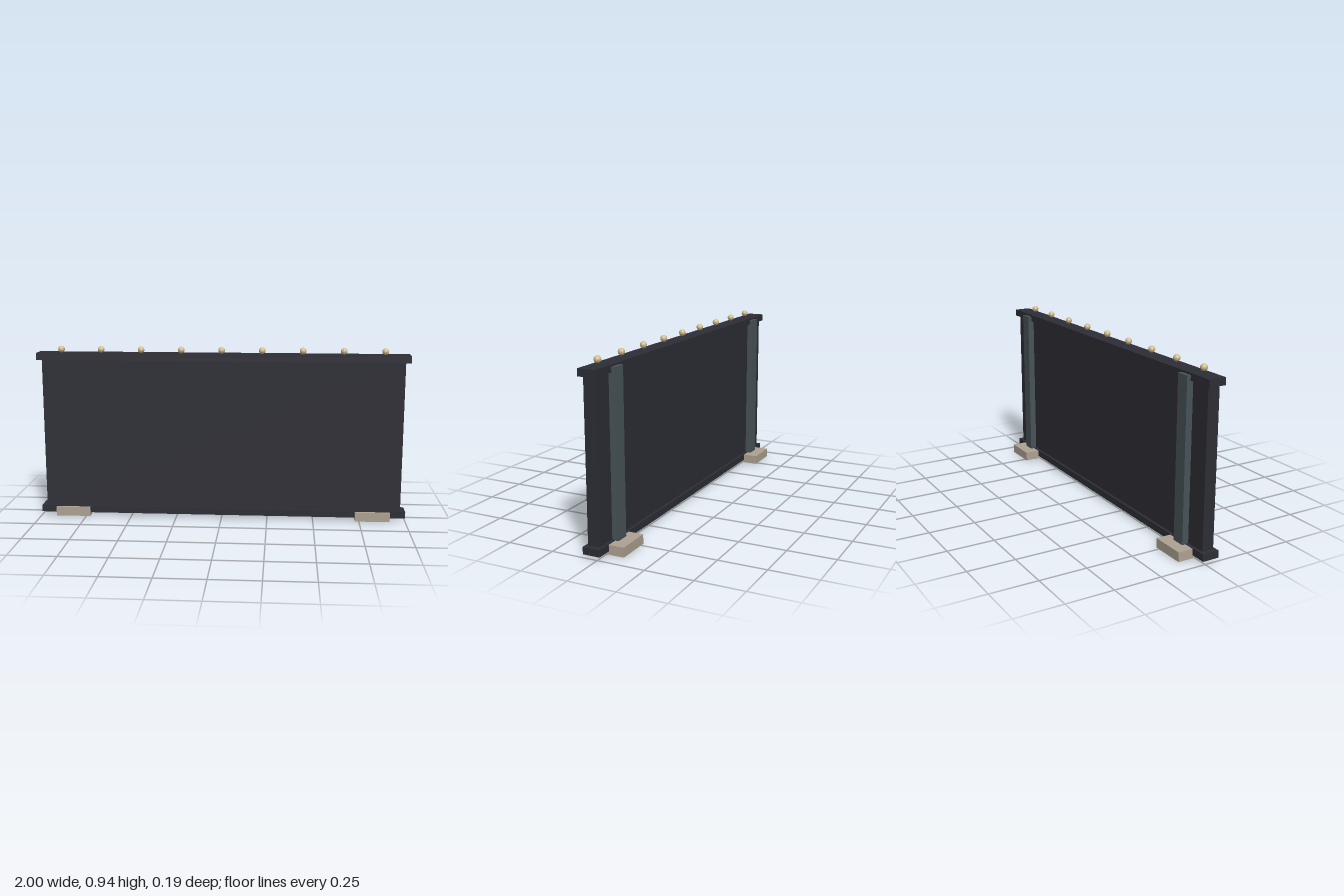
import * as THREE from 'three';

const charcoal = new THREE.MeshStandardMaterial({ name: 'charcoal', color: 0x2d2d36 });
const slate = new THREE.MeshStandardMaterial({ name: 'slateSteel', color: 0x485358 });
const stone = new THREE.MeshStandardMaterial({ name: 'paleStone', color: 0xaea292 });
const brass = new THREE.MeshStandardMaterial({ name: 'warmBrass', color: 0xcfbb8c });

export function createModel() {
  const model = new THREE.Group();
  model.name = 'billboard';

  // Box from its minimum and maximum corners
  const addBox = (name, material, [x0, y0, z0], [x1, y1, z1]) => {
    const mesh = new THREE.Mesh(new THREE.BoxGeometry(x1 - x0, y1 - y0, z1 - z0), material);
    mesh.position.set((x0 + x1) / 2, (y0 + y1) / 2, (z0 + z1) / 2);
    mesh.name = name;
    model.add(mesh);
  };

  // Board with overhanging rails
  addBox('panel', charcoal, [-0.973, 0.035, 0.002], [0.973, 0.885, 0.065]);
  addBox('topRail', charcoal, [-1, 0.866, -0.013], [1, 0.903, 0.078]);
  addBox('bottomRail', charcoal, [-1, 0.017, -0.013], [1, 0.054, 0.078]);

  // Rear posts standing on footings
  for (const [side, s] of [['left', 1], ['right', -1]]) {
    const x = s * 0.822;
    addBox(side + 'Post', slate, [x - 0.036, 0.04, -0.033], [x + 0.036, 0.893, 0.01]);
    addBox(side + 'Footing', stone, [x - 0.094, 0, -0.094], [x + 0.094, 0.05, 0.094]);
  }

  // Row of round lamps along the top
  const lampGeometry = new THREE.SphereGeometry(0.018, 16, 12);
  for (let i = 0; i < 9; i++) {
    const lamp = new THREE.Mesh(lampGeometry, brass);
    lamp.name = 'lamp' + (i + 1);
    lamp.position.set((i - 4) * 0.2162, 0.923, 0.055);
    model.add(lamp);
  }
  return model;
}
